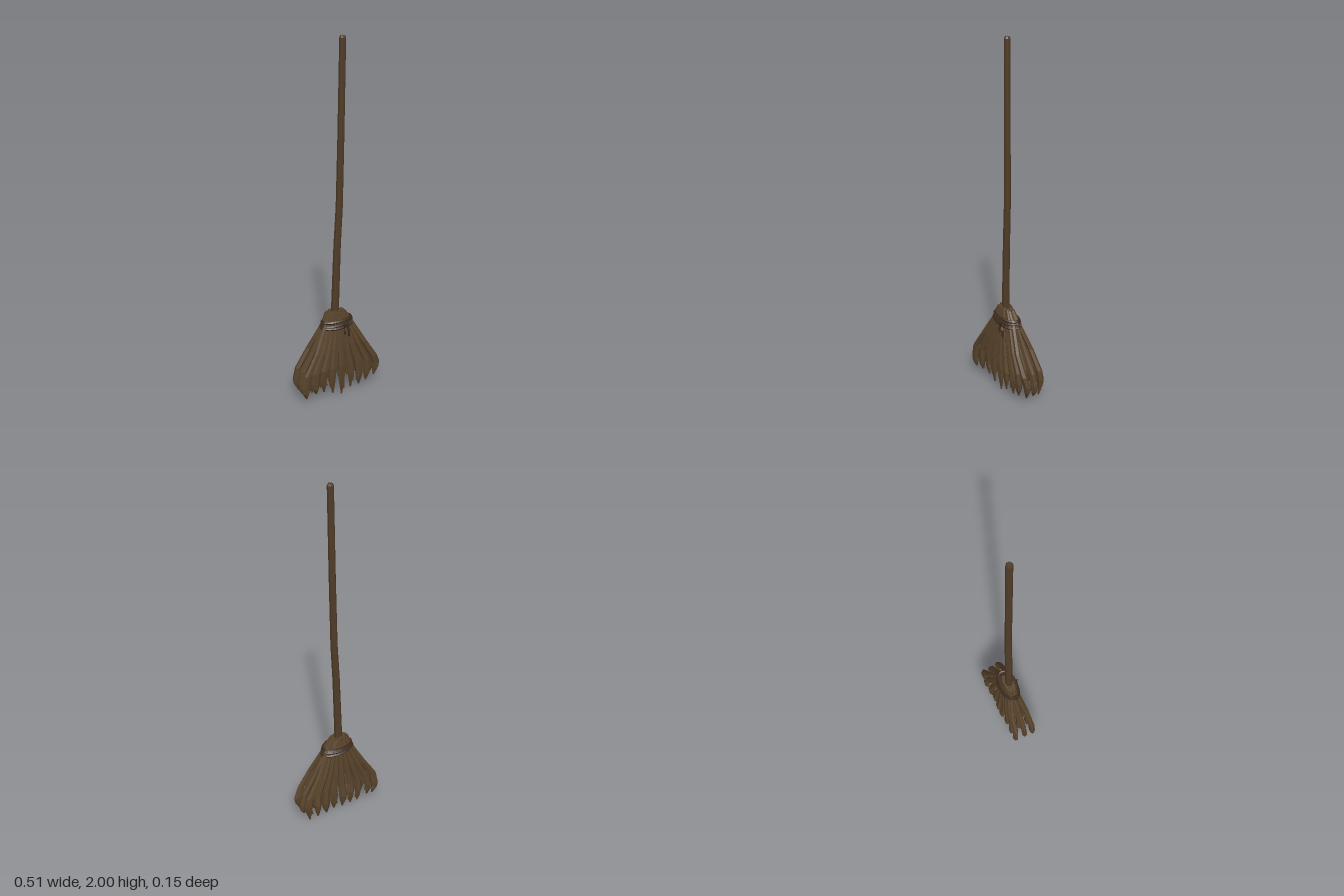
import * as THREE from 'three';
import { mergeGeometries } from 'three/addons/utils/BufferGeometryUtils.js';

// Loft through horizontal sections, listed from top to bottom: [x, y, z, halfWidth, halfDepth]
function loft(sections, sides = 6, turn = 0) {
  const pos = [], index = [];
  for (const [x, y, z, w, d] of sections) {
    for (let k = 0; k < sides; k++) {
      const a = (k / sides) * Math.PI * 2 + turn;
      pos.push(x + Math.cos(a) * w, y, z + Math.sin(a) * d);
    }
  }
  const last = (sections.length - 1) * sides;
  for (let r = 0; r < last; r += sides) {
    for (let k = 0; k < sides; k++) {
      const n = (k + 1) % sides;
      index.push(r + k, r + n, r + sides + n, r + k, r + sides + n, r + sides + k);
    }
  }
  for (let k = 1; k < sides - 1; k++) {
    index.push(0, k + 1, k, last, last + k, last + k + 1);
  }
  const g = new THREE.BufferGeometry();
  g.setAttribute('position', new THREE.Float32BufferAttribute(pos, 3));
  g.setIndex(index);
  const flat = g.toNonIndexed();
  flat.computeVertexNormals();
  return flat;
}

function seeded(seed) {
  return () => {
    seed = (seed * 16807) % 2147483647;
    return seed / 2147483647;
  };
}

export function createModel() {
  const broom = new THREE.Group();
  broom.name = 'broom';
  const material = (name, color) => {
    const m = new THREE.MeshStandardMaterial({ color, flatShading: true });
    m.name = name;
    return m;
  };
  const wood = material('handleWood', 0x503c28);
  const straw = material('bristleWood', 0x58432b);
  const twine = material('twine', 0x3c2b1e);
  const add = (name, geometry, mat) => {
    const mesh = new THREE.Mesh(geometry, mat);
    mesh.name = name;
    broom.add(mesh);
  };

  // Crooked handle with a bevelled end
  add('handle', loft([
    [0.025, 2.0, 0.017, 0.012, 0.012],
    [0.025, 1.99, 0.017, 0.017, 0.017],
    [0.019, 1.5, 0.012, 0.018, 0.018],
    [0.013, 1.12, 0.007, 0.019, 0.019],
    [0.002, 0.9, 0.004, 0.02, 0.02],
    [-0.009, 0.55, 0.001, 0.022, 0.021],
    [-0.01, 0.4, 0, 0.022, 0.021],
  ], 8, Math.PI / 8), wood);

  // Three rows of fanned bristles with split, ragged ends
  const rand = seeded(71);
  const jitter = (s) => (rand() - 0.5) * 2 * s;
  const bristles = [];
  [[1, 9, 'front'], [0, 8, 'middle'], [-1, 9, 'back']].forEach(([side, count, row]) => {
    const parts = [];
    for (let i = 0; i < count; i++) {
      const u = (i / (count - 1)) * 2 - 1;
      const edge = Math.abs(u);
      const round = Math.sqrt(1 - 0.75 * u * u);
      const low = 0.13 + jitter(0.015);
      const tip = side === 1 && i === 4 ? 0 : 0.028 + 0.018 * edge + jitter(0.014);
      const x = u * 0.228 + jitter(0.006);
      const z = side * 0.056 - 0.005 + jitter(0.006);
      const w = 0.024 + jitter(0.003);
      const turn = jitter(0.4);
      parts.push(loft([
        [-0.009 + u * 0.046, 0.515 - 0.008 * edge + jitter(0.006), side * 0.021 * round, 0.011, 0.01],
        [u * 0.076, 0.44, side * 0.034 * round, 0.015, 0.012],
        [u * 0.148, 0.3, side * 0.047, 0.019, 0.014],
        [u * 0.212, 0.19, side * 0.054, 0.023, 0.016],
        [x, low, z, w, 0.017],
        [x, low - 0.035, z, w * 0.8, 0.014],
        [x - u * 0.008 + jitter(0.004), tip, z - side * 0.004, 0.005, 0.004],
      ], 6, turn));
      // Short prong beside the main tip
      const s = rand() > 0.5 ? 1 : -1;
      parts.push(loft([
        [x, low, z, w * 0.6, 0.013],
        [x + s * 0.011, low - 0.035, z, 0.01, 0.011],
        [x + s * 0.015 - u * 0.01, tip + 0.025 + rand() * 0.02, z, 0.004, 0.004],
      ], 5, turn));
    }
    add(row + 'Bristles', mergeGeometries(parts), straw);
  });

  // Twine wound around the bristles
  [[0.458, 0.088, 0.047], [0.442, 0.093, 0.049], [0.426, 0.097, 0.051]].forEach(([y, rx, rz], n) => {
    const points = [];
    for (let k = 0; k < 16; k++) {
      const a = (k / 16) * Math.PI * 2;
      points.push(new THREE.Vector3(Math.cos(a) * rx, y + Math.sin(a + n * 2) * 0.004, Math.sin(a) * rz));
    }
    const curve = new THREE.CatmullRomCurve3(points, true);
    add('twineLoop' + (n + 1), new THREE.TubeGeometry(curve, 28, 0.008, 5, true), twine);
  });

  // Knot and two loose ends at the front
  const knot = new THREE.BoxGeometry(0.026, 0.026, 0.018);
  knot.rotateZ(0.3);
  knot.translate(0.026, 0.436, 0.058);
  add('twineKnot', knot, twine);
  [[0.015, 0.385], [0.04, 0.365]].forEach(([x, y], n) => {
    add('twineEnd' + (n + 1), loft([
      [0.026, 0.435, 0.06, 0.006, 0.006],
      [x, 0.41, 0.066, 0.007, 0.006],
      [x + 0.002, y, 0.064, 0.005, 0.005],
    ], 5), twine);
  });

  return broom;
}
